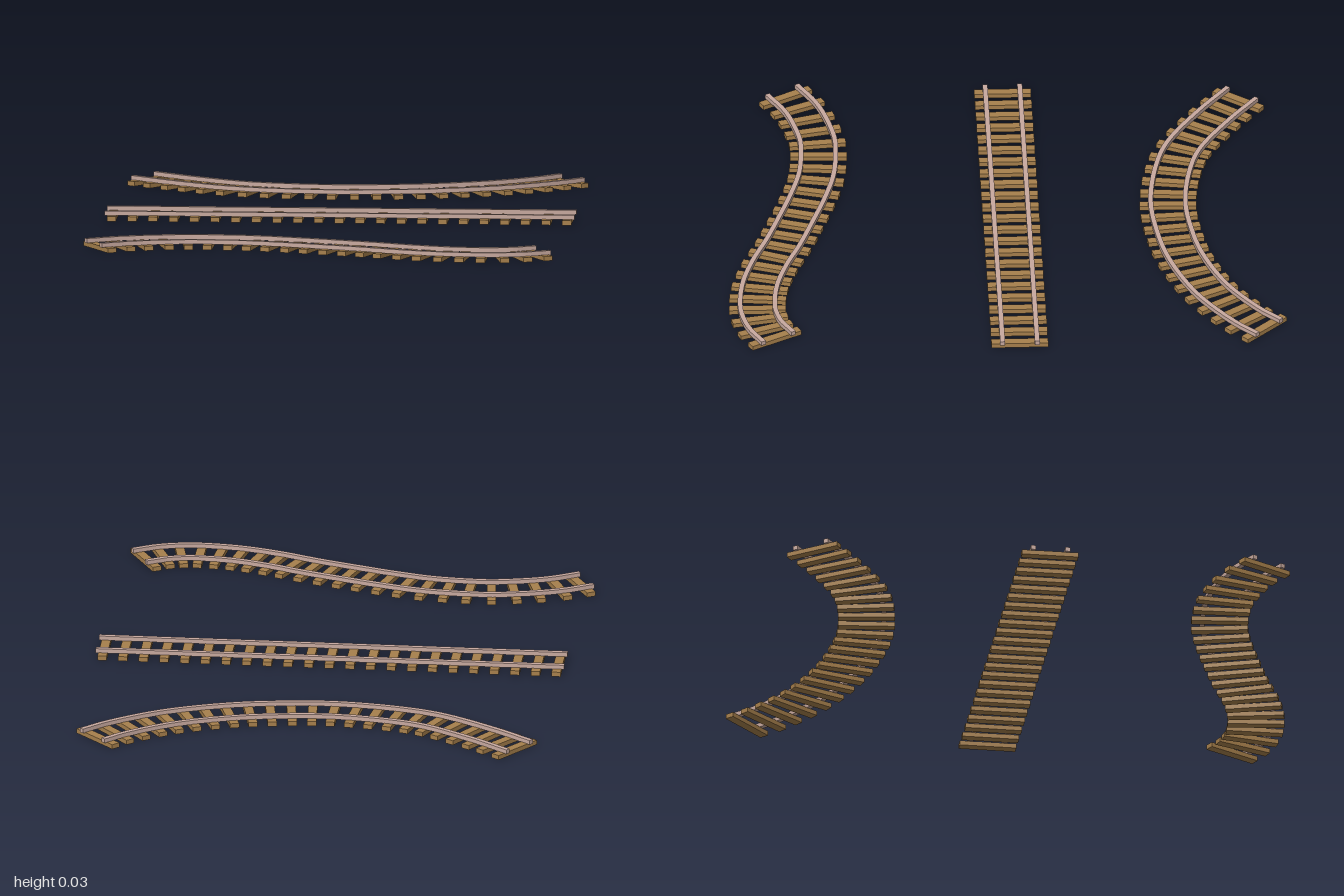
import * as THREE from 'three';

const TIE = { length: 0.204, width: 0.033, height: 0.017, count: 23 };
const RAIL = { width: 0.018, bottom: 0.016, height: 0.016, offset: 0.062, overhang: 0.026 };

// Centre lines of the three track pieces as [x, z]; crowding packs ties closer toward the end
const TRACKS = [
  { name: 'arcTrack', crowding: 0, points: [[-0.72, -0.874], [-0.6, -0.785], [-0.404, -0.667],
    [-0.264, -0.624], [-0.04, -0.597], [0.15, -0.612], [0.322, -0.647], [0.539, -0.733],
    [0.719, -0.857], [0.774, -0.911]] },
  { name: 'straightTrack', crowding: 0, points: [[-0.798, -0.033], [0.835, -0.033]] },
  { name: 'sCurveTrack', crowding: 0.12, points: [[-0.798, 0.744], [-0.73, 0.706], [-0.658, 0.678],
    [-0.505, 0.644], [-0.425, 0.641], [-0.267, 0.654], [-0.119, 0.691], [0.029, 0.739],
    [0.174, 0.789], [0.314, 0.845], [0.452, 0.884], [0.592, 0.897], [0.655, 0.89],
    [0.72, 0.871], [0.773, 0.842]] },
];

// Point and direction along the curve, in plan
const frameAt = (curve, u) => ({ p: curve.getPointAt(u), t: curve.getTangentAt(u) });

// Rail: an offset strip in plan, extruded upward
function railGeometry(curve, offset) {
  const frames = [];
  const segments = 66;
  for (let i = 0; i <= segments; i++) frames.push(frameAt(curve, i / segments));
  const extend = ({ p, t }, d) => ({ p: p.clone().addScaledVector(t, d), t });
  frames.unshift(extend(frames[0], -RAIL.overhang));
  frames.push(extend(frames[frames.length - 1], RAIL.overhang));
  const side = (d) => frames.map(({ p, t }) => new THREE.Vector2(p.x - t.z * d, -(p.z + t.x * d)));
  const outline = [...side(offset + RAIL.width / 2), ...side(offset - RAIL.width / 2).reverse()];
  const geometry = new THREE.ExtrudeGeometry(new THREE.Shape(outline), {
    depth: RAIL.height, bevelEnabled: false,
  });
  geometry.rotateX(-Math.PI / 2);
  geometry.translate(0, RAIL.bottom, 0);
  return geometry;
}

function buildTrack({ name, crowding, points }, wood, steel) {
  const track = new THREE.Group();
  track.name = name;
  const curve = new THREE.CatmullRomCurve3(points.map(([x, z]) => new THREE.Vector3(x, 0, z)));

  // Wooden ties, square to the curve
  const tieGeometry = new THREE.BoxGeometry(TIE.width, TIE.height, TIE.length);
  for (let i = 0; i < TIE.count; i++) {
    const u = i / (TIE.count - 1);
    const { p, t } = frameAt(curve, u + crowding * u * (1 - u));
    const tie = new THREE.Mesh(tieGeometry, wood);
    tie.name = 'tie';
    tie.position.set(p.x, TIE.height / 2, p.z);
    tie.rotation.y = Math.atan2(-t.z, t.x);
    track.add(tie);
  }

  // Pair of rails
  for (const s of [-1, 1]) {
    const rail = new THREE.Mesh(railGeometry(curve, s * RAIL.offset), steel);
    rail.name = s < 0 ? 'backRail' : 'frontRail';
    track.add(rail);
  }
  return track;
}

export function createModel() {
  const model = new THREE.Group();
  model.name = 'railwayTracks';
  const wood = new THREE.MeshStandardMaterial({ color: 0xa7804c });
  wood.name = 'wood';
  const steel = new THREE.MeshStandardMaterial({ color: 0xc8a99f });
  steel.name = 'steel';
  for (const spec of TRACKS) model.add(buildTrack(spec, wood, steel));
  return model;
}
